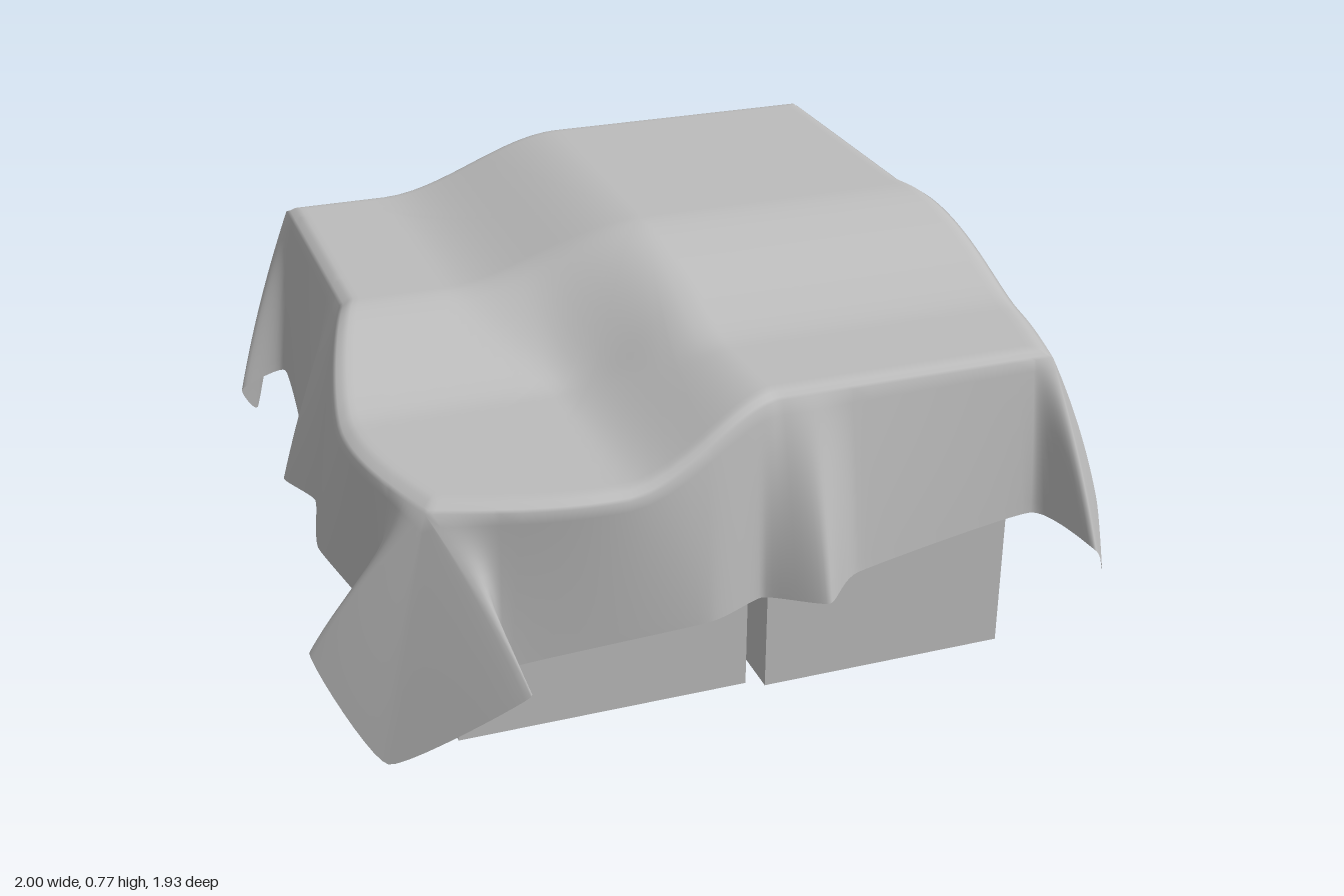
import * as THREE from 'three';
import { mergeVertices } from 'three/addons/utils/BufferGeometryUtils.js';

// The blocks and cloth top share a square turned about y; u and v run along its sides.
const ANGLE = 0.573, COS = Math.cos(ANGLE), SIN = Math.sin(ANGLE);
const CX = 0.02, CZ = 0.005, HALF = 0.6;

const toWorld = (u, v) => [CX + u * COS + v * SIN, CZ + u * SIN - v * COS];
const toLocal = (x, z) => [(x - CX) * COS + (z - CZ) * SIN, (x - CX) * SIN - (z - CZ) * COS];
const { smoothstep, lerp, clamp } = THREE.MathUtils;

// Cloth height: high over the back block, stepping down towards the front block
function topHeight(u, v) {
  const nearU = smoothstep(u, 0, 0.25), nearV = smoothstep(-v, 0, 0.25);
  const a = smoothstep(u, -0.01 - 0.03 * nearV, 0.39 - 0.13 * nearV);
  const b = smoothstep(-v, -0.01 - 0.03 * nearU, 0.39 - 0.13 * nearU);
  return 0.77 - 0.12 * a - 0.11 * b;
}

// The top's edge swells outward beside the front and right blocks
function swell(u, v) {
  const onEdge = (c, edge) => Math.abs(c - edge) < 1e-6;
  const lobe = (c) => Math.sin(Math.PI * clamp((c + 0.05) / (HALF + 0.05), 0, 1));
  if (onEdge(v, -HALF)) return [u, v - 0.075 * lobe(u)];
  if (onEdge(u, HALF)) return [u + 0.075 * lobe(-v), v];
  if (onEdge(v, HALF)) return [u, v + 0.055 * lobe(u)];
  return [u, v];
}

// Hem points, each paired with the place on the top's edge it hangs from
function hemPoints() {
  const hem = [], rim = [];

  // One corner flap (ear, tip, ear as x, y, z), then the skirt folds (x, z) to the next corner,
  // whose hem height runs evenly from startY to endY
  function addSide(uSign, vSign, axis, flap, startY, endY, folds) {
    const corner = [uSign * HALF, vSign * HALF];
    for (const point of flap) {
      hem.push(new THREE.Vector3(...point));
      rim.push(corner);
    }
    for (const [x, z] of folds) {
      const uv = toLocal(x, z).map((c) => clamp(c, -0.57, 0.57));
      const along = Math.abs(uv[1 - axis] - corner[1 - axis]) / (2 * HALF);
      uv[axis] = corner[axis];
      hem.push(new THREE.Vector3(x, lerp(startY, endY, along), z));
      rim.push(uv);
    }
  }

  // Left corner and left-front skirt
  addSide(-1, -1, 1, [[-1, 0.29, 0.07], [-0.94, 0.14, 0.2], [-0.86, 0.25, 0.31]], 0.3, 0.25,
    [[-0.78, 0.25], [-0.48, 0.48], [-0.44, 0.58], [-0.33, 0.6], [-0.2, 0.72], [0.06, 0.83]]);
  // Front corner and front-right skirt
  addSide(1, -1, 0, [[0.02, 0.24, 0.96], [0.15, 0.03, 0.91], [0.38, 0.2, 0.78]], 0.19, 0.34,
    [[0.29, 0.75], [0.53, 0.46], [0.57, 0.35], [0.69, 0.31], [0.68, 0.2], [0.86, -0.12]]);
  // Right corner and right-back skirt
  addSide(1, 1, 1, [[1, 0.3, -0.12], [0.93, 0.14, -0.32], [0.88, 0.28, -0.36]], 0.32, 0.4,
    [[0.82, -0.3], [0.58, -0.46], [0.5, -0.53], [0.28, -0.53], [0.23, -0.62], [-0.08, -0.79]]);
  // Back corner and back-left skirt
  addSide(-1, 1, 0, [[-0.02, 0.4, -0.97], [-0.17, 0.23, -0.88], [-0.38, 0.37, -0.86]], 0.4, 0.3,
    [[-0.25, -0.78], [-0.39, -0.57], [-0.39, -0.48], [-0.48, -0.34], [-0.63, -0.21], [-0.8, 0.06]]);
  return { hem, rim };
}

function clothGeometry() {
  const { hem, rim } = hemPoints();
  const curve = new THREE.CatmullRomCurve3(hem, true, 'catmullrom', 0.24);
  const steps = 10, around = hem.length * steps, topRows = 36, dropRows = 14;
  const positions = [], index = [];

  for (let j = 0; j < around; j++) {
    const i = Math.floor(j / steps), f = (j % steps) / steps, next = rim[(i + 1) % rim.length];
    const [u, v] = swell(lerp(rim[i][0], next[0], f), lerp(rim[i][1], next[1], f));
    // Top: concentric squares, softened at the edge
    for (let k = 0; k <= topRows; k++) {
      const s = 1 - Math.pow(1 - k / topRows, 1.25);
      const [x, z] = toWorld(u * s, v * s);
      positions.push(x, topHeight(u * s, v * s) - 0.014 * smoothstep(s, 0.95, 1) ** 2, z);
    }
    // Hanging skirt and corner flaps
    const low = curve.getPoint(j / around);
    const [rx, rz] = toWorld(u, v), ry = topHeight(u, v) - 0.014;
    for (let k = 1; k <= dropRows; k++) {
      const t = k / dropRows, out = 1.25 * t - 0.25 * t * t;
      positions.push(lerp(rx, low.x, out), lerp(ry, low.y, t), lerp(rz, low.z, out));
    }
  }

  const rows = topRows + dropRows + 1;
  for (let j = 0; j < around; j++) {
    for (let k = 0; k < rows - 1; k++) {
      const a = j * rows + k, b = ((j + 1) % around) * rows + k;
      index.push(a, a + 1, b + 1);
      if (k > 0) index.push(a, b + 1, b);
    }
  }
  const geometry = new THREE.BufferGeometry();
  geometry.setAttribute('position', new THREE.Float32BufferAttribute(positions, 3));
  geometry.setIndex(index);
  const merged = mergeVertices(geometry, 1e-5);
  merged.computeVertexNormals();
  return merged;
}

export function createModel() {
  const model = new THREE.Group();
  model.name = 'drapedBlocks';
  const grey = new THREE.MeshStandardMaterial({ color: 0xbcbcbc, side: THREE.DoubleSide });
  grey.name = 'plain grey';

  // Four blocks of stepped height, slightly uneven, with narrow gaps: u range, v range, height
  const blocks = new THREE.Group();
  blocks.name = 'blocks';
  blocks.position.set(CX, 0, CZ);
  blocks.rotation.y = -ANGLE;
  const layout = [
    ['frontBlock', 0.017, 0.53, -0.542, 0.03, 0.51],
    ['leftBlock', -0.547, -0.006, -0.545, 0.01, 0.62],
    ['rightBlock', 0.02, 0.55, 0.062, 0.56, 0.62],
    ['backBlock', -0.515, -0.008, 0.035, 0.56, 0.74],
  ];
  for (const [name, u0, u1, v0, v1, height] of layout) {
    const block = new THREE.Mesh(new THREE.BoxGeometry(u1 - u0, height, v1 - v0), grey);
    block.name = name;
    block.position.set((u0 + u1) / 2, height / 2, -(v0 + v1) / 2);
    blocks.add(block);
  }
  model.add(blocks);

  // Draped cloth
  const cloth = new THREE.Mesh(clothGeometry(), grey);
  cloth.name = 'drapedCloth';
  model.add(cloth);
  return model;
}
